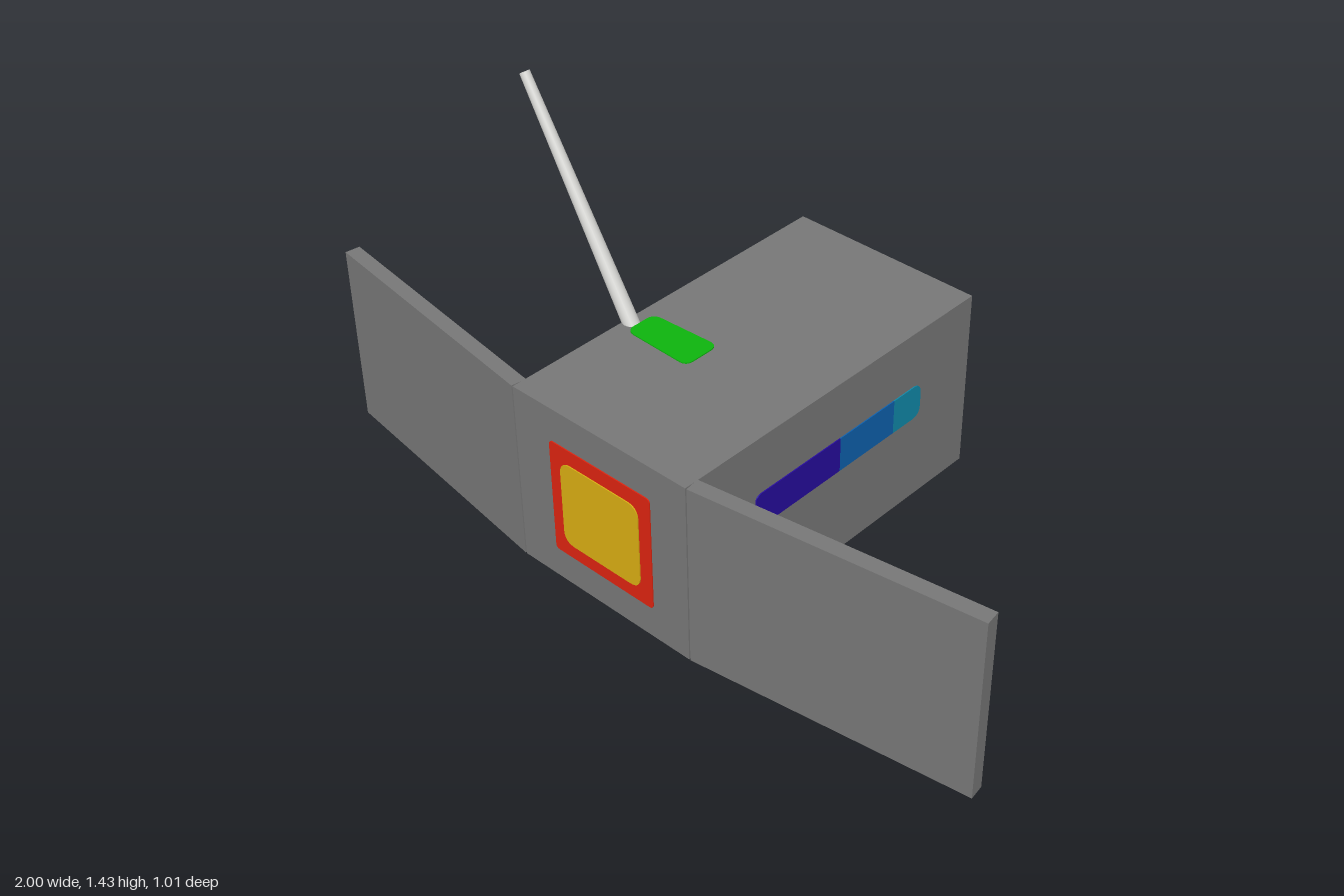
import * as THREE from 'three';

const mat = (name, color) => {
  const m = new THREE.MeshStandardMaterial({ color });
  m.name = name;
  return m;
};

// Closed outline with rounded corners; a point may carry its own radius as third value
function roundedShape(points, radius) {
  const shape = new THREE.Shape();
  const n = points.length;
  const V = (p) => new THREE.Vector2(p[0], p[1]);
  points.forEach((p, i) => {
    const c = V(p), a = V(points[(i + n - 1) % n]), b = V(points[(i + 1) % n]);
    const r = p[2] ?? radius;
    const from = c.clone().add(a.sub(c).setLength(r));
    const to = c.clone().add(b.sub(c).setLength(r));
    if (i === 0) shape.moveTo(from.x, from.y);
    else shape.lineTo(from.x, from.y);
    if (r > 0) shape.quadraticCurveTo(c.x, c.y, to.x, to.y);
  });
  shape.closePath();
  return shape;
}

const rect = (x0, x1, y0, y1, r, leftR = r, rightR = r) =>
  roundedShape([[x0, y0, leftR], [x1, y0, rightR], [x1, y1, rightR], [x0, y1, leftR]], r);

const disc = (x, y, r) => new THREE.Shape().absarc(x, y, r, 0, Math.PI * 2);

export function createModel() {
  const model = new THREE.Group();
  model.name = 'satellite';

  const grey = mat('body grey', 0x777777);
  const pale = mat('panel pale grey', 0xc2c2c2);
  const white = mat('antenna white', 0xd6d6d3);
  const red = mat('red', 0xdc2410);
  const yellow = mat('yellow', 0xd8ac12);
  const green = mat('green', 0x0eb40e);
  const indigo = mat('indigo', 0x260c9c);
  const blue = mat('blue', 0x0e60ac);
  const teal = mat('teal', 0x1088a8);
  const black = mat('black', 0x0a0a0a);

  const W = 0.272, Y0 = 0.375, H = 0.5, D = 0.5, MID = Y0 + H / 2;

  // Main box
  const body = new THREE.Mesh(new THREE.BoxGeometry(W * 2, H, D * 2), grey);
  body.name = 'body';
  body.position.y = MID;
  model.add(body);

  // Thin painted plate standing `lift` proud of the plane z = 0 of its parent
  function plate(parent, name, shape, material, lift = 0.003) {
    const geo = new THREE.ExtrudeGeometry(shape, { depth: 0.006, bevelEnabled: false, curveSegments: 16 });
    const mesh = new THREE.Mesh(geo, material);
    mesh.name = name;
    mesh.position.z = lift - 0.006;
    parent.add(mesh);
  }

  // One local drawing plane per side of the box
  function face(name, x, y, z, rx, ry) {
    const g = new THREE.Group();
    g.name = name;
    g.position.set(x, y, z);
    g.rotation.set(rx, ry, 0);
    model.add(g);
    return g;
  }
  const front = face('frontFace', 0, 0, D, 0, 0);
  const back = face('backFace', 0, 0, -D, 0, Math.PI);
  const left = face('leftFace', W, 0, 0, 0, Math.PI / 2);
  const right = face('rightFace', -W, 0, 0, 0, -Math.PI / 2);
  const top = face('topFace', 0, Y0 + H, 0, -Math.PI / 2, 0);

  // Front sensor window
  plate(front, 'sensorFrame', rect(-0.157, 0.163, 0.463, 0.783, 0.012), red);
  plate(front, 'sensorWindow', rect(-0.122, 0.127, 0.503, 0.742, 0.035), yellow, 0.006);

  // Rear lenses and edge markers
  plate(back, 'mainLens', disc(-0.004, 0.574, 0.177), black);
  plate(back, 'smallLens', disc(-0.2, 0.785, 0.055), black);
  plate(back, 'yellowEdgeMark', rect(0.257, W, 0.607, 0.78, 0), yellow);
  plate(back, 'redEdgeMark', rect(0.257, W, 0.51, 0.607, 0), red);

  // Three-tone side stripe
  plate(left, 'stripeIndigo', rect(-0.278, 0.013, 0.622, 0.718, 0, 0.02, 0), indigo);
  plate(left, 'stripeBlue', rect(0.013, 0.21, 0.622, 0.718, 0), blue);
  plate(left, 'stripeTeal', rect(0.21, 0.312, 0.622, 0.718, 0, 0, 0.03), teal);

  // Antenna mounting pads
  plate(top, 'topPad', roundedShape([[-0.237, -0.17], [-0.036, -0.177], [-0.036, -0.07], [-0.237, -0.08]], 0.025), green);
  plate(right, 'sidePad', rect(-0.235, -0.128, 0.44, 0.655, 0.025), green);

  // Tapered antennas
  function antenna(name, from, to) {
    const a = new THREE.Vector3(...from), dir = new THREE.Vector3(...to).sub(a);
    const mesh = new THREE.Mesh(new THREE.CylinderGeometry(0.013, 0.021, dir.length(), 20), white);
    mesh.name = name;
    mesh.position.copy(a).addScaledVector(dir, 0.5);
    mesh.quaternion.setFromUnitVectors(new THREE.Vector3(0, 1, 0), dir.normalize());
    model.add(mesh);
  }
  antenna('topAntenna', [-0.25, 0.86, 0.136], [-0.577, 1.424, 0.136]);
  antenna('lowerAntenna', [-0.25, 0.425, -0.182], [-0.642, 0.011, -0.182]);

  // Swept wing panels with pale cells on their rear; cells run hinge (u = 0) to tip, v downward
  const L = 0.732, T = 0.04;
  const cells = [
    [[0.02, 0.1], [0.13, 0.09], [0.13, 0.23], [0.02, 0.22]],
    [[0.18, 0.15], [0.28, 0.14], [0.28, 0.3], [0.18, 0.29]],
    [[0.02, 0.33], [0.2, 0.33], [0.18, 0.5], [0.21, 0.67], [0.02, 0.67], [0.05, 0.5]],
    [[0.02, 0.79], [0.13, 0.78], [0.13, 0.93], [0.02, 0.92]],
    [[0.18, 0.7], [0.28, 0.7], [0.28, 0.85], [0.18, 0.84]],
    [[0.32, 0.1], [0.94, 0.1], [0.94, 0.91], [0.32, 0.91], [0.32, 0.64], [0.23, 0.62], [0.23, 0.42], [0.32, 0.37]],
  ];
  for (const s of [1, -1]) {
    const wing = new THREE.Group();
    wing.name = s > 0 ? 'leftWing' : 'rightWing';
    wing.position.set(s * 0.276, Y0, D);
    wing.rotation.y = s * 0.137;
    model.add(wing);

    const panel = new THREE.Mesh(new THREE.BoxGeometry(L, H, T), grey);
    panel.name = 'wingPanel';
    panel.position.set(s * L / 2, H / 2, -T / 2);
    wing.add(panel);

    const rear = new THREE.Group();
    rear.name = 'wingCells';
    rear.position.z = -T;
    rear.rotation.y = Math.PI;
    wing.add(rear);
    cells.forEach((c, i) => {
      const pts = c.map(([u, v]) => [-s * u * L, (1 - v) * H]);
      plate(rear, 'cell' + (i + 1), roundedShape(pts, 0.022), pale);
    });
  }

  return model;
}
